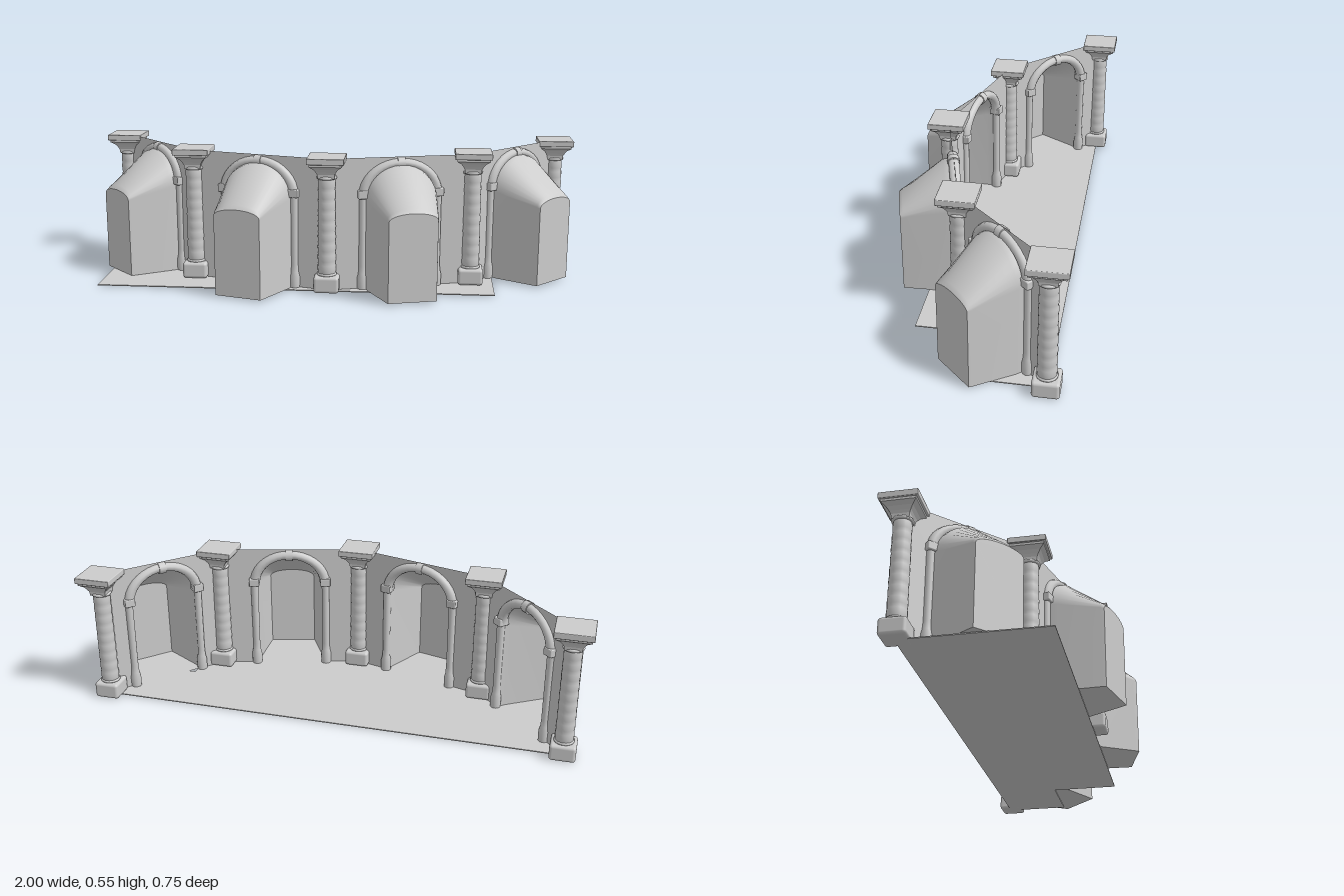
import * as THREE from 'three';
import { RoundedBoxGeometry } from 'three/addons/geometries/RoundedBoxGeometry.js';

const stone = new THREE.MeshStandardMaterial({ color: 0xcccccc, side: THREE.DoubleSide });
stone.name = 'pale stone';

function add(parent, name, geometry, x = 0, y = 0, z = 0) {
  const mesh = new THREE.Mesh(geometry, stone);
  mesh.name = name;
  mesh.position.set(x, y, z);
  parent.add(mesh);
  return mesh;
}

const lathe = (pts, sides, phi = 0) =>
  new THREE.LatheGeometry(pts.map(([r, y]) => new THREE.Vector2(r, y)), sides, phi);

// Square-plan profile: half-widths swept round four flat sides
function squareLathe(pts) {
  const g = lathe(pts.map(([h, y]) => [h * Math.SQRT2, y]), 4, Math.PI / 4).toNonIndexed();
  g.computeVertexNormals();
  return g;
}

function makeColumn(x, y, z) {
  const column = new THREE.Group();
  column.name = 'column';
  column.position.set(x, y, z);
  add(column, 'columnBase', new RoundedBoxGeometry(0.1, 0.066, 0.1, 3, 0.012), 0, 0.033, 0);
  add(column, 'baseRing', lathe([[0, 0.064], [0.038, 0.064], [0.039, 0.069], [0.038, 0.074], [0.034, 0.075]], 20));
  // Shaft of stacked, slightly barrelled drums
  const drums = 9, pts = [];
  for (let i = 0; i < drums; i++) {
    for (const [t, bulge] of [[0, 0], [0.2, 0.0013], [0.5, 0.002], [0.8, 0.0013]]) {
      const f = (i + t) / drums;
      pts.push([0.0345 - 0.002 * f + bulge, 0.074 + 0.378 * f]);
    }
  }
  pts.push([0.0325, 0.452]);
  add(column, 'shaft', lathe(pts, 20));
  const ring = add(column, 'neckRing', new THREE.TorusGeometry(0.034, 0.0065, 8, 20), 0, 0.457, 0);
  ring.rotation.x = Math.PI / 2;
  add(column, 'capital', squareLathe([[0.032, 0.455], [0.034, 0.472], [0.039, 0.482], [0.048, 0.495],
    [0.06, 0.504], [0.064, 0.507], [0.064, 0.518]]));
  add(column, 'abacus', new RoundedBoxGeometry(0.145, 0.024, 0.145, 2, 0.003), 0, 0.528, 0);
  return column;
}

// Arched outline from right foot over the top to left foot
function archOutline(w, spring, top, steps = 16) {
  const pts = [[w, 0.007]];
  for (let i = 0; i <= steps; i++) {
    const a = Math.PI * i / steps;
    pts.push([w * Math.cos(a), spring + (top - spring) * Math.sin(a)]);
  }
  pts.push([-w, 0.007]);
  return pts;
}

// Niche shell: arched sections that narrow and drop towards the back
const sections = [[0, 0.142, 0.37, 0.508], [0.04, 0.138, 0.365, 0.501],
  [0.2, 0.1, 0.33, 0.372], [0.213, 0.096, 0.326, 0.356]];

function nicheShell() {
  const pos = [], idx = [];
  sections.forEach(([z, w, s, t]) => archOutline(w, s, t).forEach(([x, y]) => pos.push(x, y, z)));
  const n = archOutline(1, 1, 1).length;
  for (let k = 0; k < sections.length - 1; k++) {
    for (let i = 0; i < n - 1; i++) {
      const a = k * n + i, b = a + n;
      idx.push(a, a + 1, b, a + 1, b + 1, b);
    }
  }
  const g = new THREE.BufferGeometry();
  g.setAttribute('position', new THREE.Float32BufferAttribute(pos, 3));
  g.setIndex(idx.map((v, i) => (i % 3 === 1 ? idx[i + 1] : i % 3 === 2 ? idx[i - 1] : v)));
  g.computeVertexNormals();
  return g;
}

const shapeOf = pts => new THREE.Shape(pts.map(([x, y]) => new THREE.Vector2(x, y)));

function makeNiche() {
  const niche = new THREE.Group();
  niche.name = 'niche';
  add(niche, 'nicheShell', nicheShell());
  const [z, w, s, t] = sections[sections.length - 1];
  add(niche, 'nicheBack', new THREE.ShapeGeometry(shapeOf(archOutline(w, s, t))), 0, 0, z);
  const plan = [...sections.map(q => [q[1], q[0]]), ...sections.map(q => [-q[1], q[0]]).reverse()];
  const floor = add(niche, 'nicheFloor', new THREE.ShapeGeometry(shapeOf(plan.map(([x, d]) => [x, -d]))), 0, 0.007, 0);
  floor.rotation.x = -Math.PI / 2;
  return niche;
}

// Moulded arch on two slim posts
function makeFrame() {
  const frame = new THREE.Group();
  frame.name = 'archFrame';
  add(frame, 'archMoulding', new THREE.TorusGeometry(0.148, 0.021, 10, 18, Math.PI), 0, 0.385, 0).scale.y = 0.85;
  const knob = add(frame, 'keystone', new THREE.CylinderGeometry(0.024, 0.024, 0.03, 12), 0, 0.509, 0);
  knob.rotation.z = Math.PI / 2;
  for (const side of [-1, 1]) {
    const x = side * 0.151;
    add(frame, 'post', lathe([[0.021, 0.007], [0.022, 0.05], [0.017, 0.07], [0.015, 0.1], [0.016, 0.38]], 12), x);
    add(frame, 'impost', new RoundedBoxGeometry(0.043, 0.033, 0.046, 2, 0.004), x, 0.391, 0);
  }
  return frame;
}

// Wall bay between two columns: panel with arched opening, frame and niche
function makeBay([ax, , az], [bx, , bz]) {
  const bay = new THREE.Group();
  bay.name = 'wallBay';
  const h = Math.hypot(bx - ax, bz - az) / 2;
  bay.position.set((ax + bx) / 2, 0, (az + bz) / 2);
  bay.rotation.y = Math.atan2(az - bz, bx - ax);
  const outline = [[h, 0.007], [h, 0.535], [-h, 0.535], [-h, 0.007], ...archOutline(0.142, 0.37, 0.508).reverse()];
  add(bay, 'wallPanel', new THREE.ShapeGeometry(shapeOf(outline)));
  bay.add(makeFrame(), makeNiche());
  return bay;
}

export function createModel() {
  const model = new THREE.Group();
  model.name = 'nicheColonnade';

  const columns = [[-0.9275, 0, -0.305], [-0.555, 0.007, 0.068], [0, 0.007, 0.224],
    [0.568, 0.007, 0.068], [0.9275, 0, -0.305]];
  columns.forEach(c => model.add(makeColumn(...c)));
  for (let i = 0; i < 4; i++) model.add(makeBay(columns[i], columns[i + 1]));

  // Thin floor slab with one corner cut away
  const plan = [[-0.93, -0.31], [0.92, -0.31], [0.92, -0.05], [0.66, -0.05], [0.66, 0.225], [-0.93, 0.225]];
  const slab = new THREE.ExtrudeGeometry(shapeOf(plan.map(([x, z]) => [x, -z])), { depth: 0.004, bevelEnabled: false });
  add(model, 'floorSlab', slab, 0, 0.001, 0).rotation.x = -Math.PI / 2;
  return model;
}
